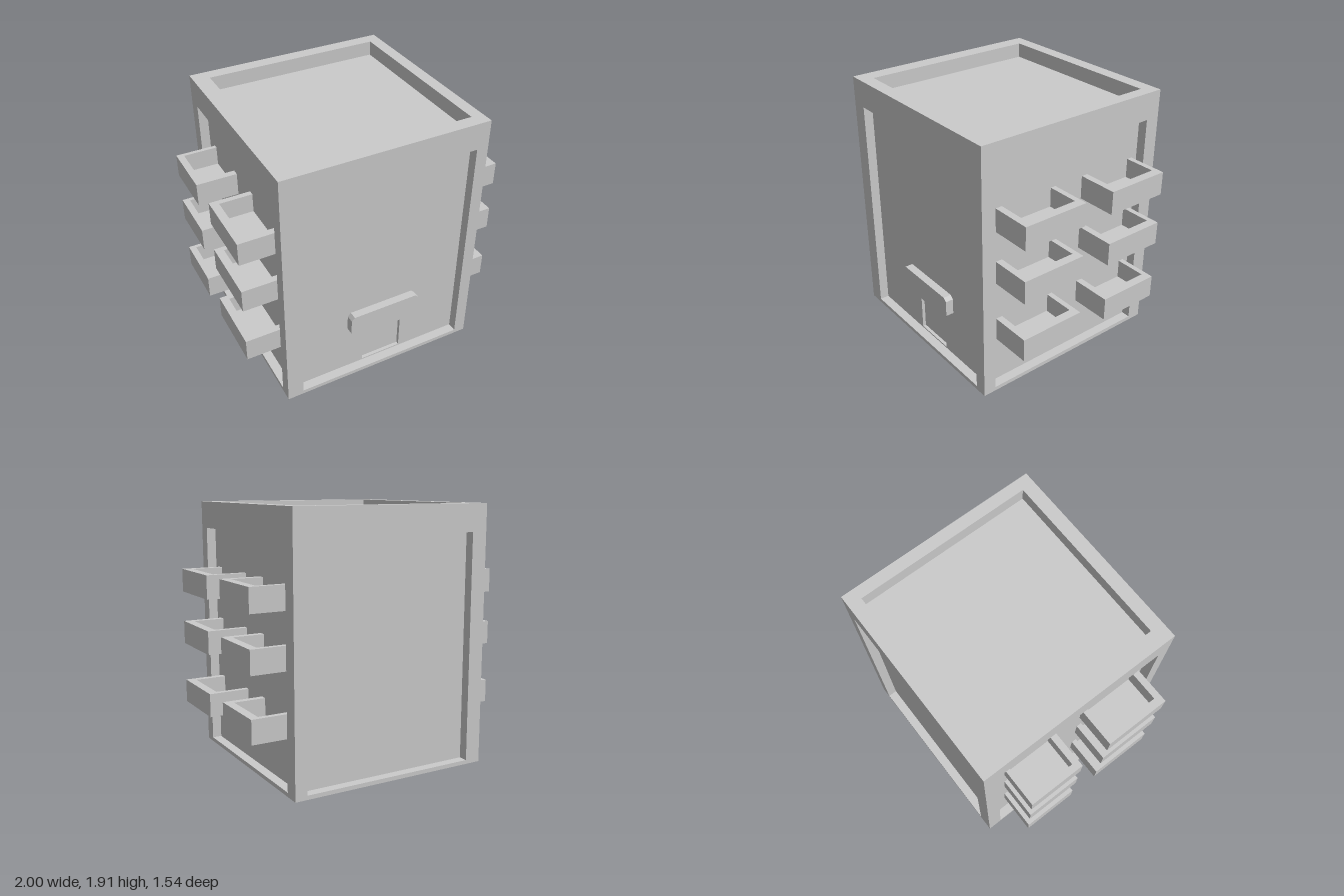
import * as THREE from 'three';
import { mergeGeometries } from 'three/addons/utils/BufferGeometryUtils.js';

const HALF = 0.77, HEIGHT = 1.91, PANEL = 0.07;

const corners = ([x0, y0, x1, y1]) => [[x0, y0], [x1, y0], [x1, y1], [x0, y1]];
const polygon = (pts) => new THREE.Shape(pts.map(([x, y]) => new THREE.Vector2(x, y)));

// A face in the xy plane made of nested rectangles, each sunk to its own depth
function steppedFace(rects, depths) {
  const parts = [];
  rects.forEach((rect, i) => {
    const plate = polygon(corners(rect));
    if (rects[i + 1]) plate.holes.push(polygon(corners(rects[i + 1])));
    const geo = new THREE.ShapeGeometry(plate).toNonIndexed();
    geo.deleteAttribute('uv');
    parts.push(geo.translate(0, 0, -depths[i]));
    if (i === 0) return;
    // reveals joining this plate to the one in front of it
    const c = corners(rect), f = -depths[i - 1], b = -depths[i], pos = [];
    c.forEach((p, k) => {
      const q = c[(k + 1) % 4];
      pos.push(...p, f, ...q, f, ...q, b, ...p, f, ...q, b, ...p, b);
    });
    const reveal = new THREE.BufferGeometry();
    reveal.setAttribute('position', new THREE.Float32BufferAttribute(pos, 3));
    reveal.computeVertexNormals();
    parts.push(reveal);
  });
  return mergeGeometries(parts);
}

export function createModel() {
  const model = new THREE.Group();
  const material = new THREE.MeshStandardMaterial({ color: 0xcccccc });
  const add = (name, geometry, parent = model) => {
    const mesh = new THREE.Mesh(geometry, material);
    mesh.name = name;
    parent.add(mesh);
    return mesh;
  };

  // Outer walls, each with a sunken panel; the front one also has the doorway
  const wall = [-HALF, 0, HALF, HEIGHT];
  const walls = [
    ['frontWall', 0, [[-0.65, 0.03, 0.68, 1.71], [-0.12, 0.04, 0.2, 0.3]]],
    ['rightWall', Math.PI / 2, [[-0.675, 0.03, 0.66, 1.71]]],
    ['backWall', Math.PI, [[-0.68, 0.03, 0.65, 1.71]]],
    ['leftWall', -Math.PI / 2, [[-0.66, 0.03, 0.675, 1.71]]],
  ];
  for (const [name, turn, holes] of walls) {
    const geo = steppedFace([wall, ...holes], [0, PANEL, PANEL + 0.025]);
    add(name, geo.translate(0, 0, HALF).rotateY(turn));
  }

  // Flat roof sunk behind a parapet, and the underside
  const square = [-HALF, -HALF, HALF, HALF];
  add('roof', steppedFace([square, [-0.65, -0.67, 0.68, 0.67]], [0, 0.11])
    .rotateX(-Math.PI / 2).translate(0, HEIGHT, 0));
  add('underside', steppedFace([square], [0]).rotateX(Math.PI / 2));

  // Canopy with clipped corners above the door
  const [x0, y0, x1, y1, c] = [-0.25, 0.39, 0.31, 0.56, 0.025];
  const canopy = polygon([[x0 + c, y0], [x1 - c, y0], [x1, y0 + c], [x1, y1 - c],
    [x1 - c, y1], [x0 + c, y1], [x0, y1 - c], [x0, y0 + c]]);
  add('canopy', new THREE.ExtrudeGeometry(canopy, { depth: 0.06, bevelEnabled: false })
    .translate(0, 0, HALF - PANEL));

  // Balconies: a U-shaped railing on a floor slab, two per storey on each side
  const inner = HALF - PANEL, rise = 0.172, slab = 0.03;
  const plans = [
    { side: 1, z: [0.11, 0.61], hole: [0.15, 0.56], reach: 0.935 },
    { side: 1, z: [-0.61, -0.13], hole: [-0.57, -0.18], reach: 0.935 },
    { side: -1, z: [0.11, 0.61], hole: [0.15, 0.56], reach: 0.94 },
    { side: -1, z: [-0.56, -0.13], hole: [-0.53, -0.18], reach: 0.95 },
  ];
  for (const base of [0.382, 0.842, 1.241]) {
    for (const { side, z, hole, reach } of plans) {
      const balcony = new THREE.Group();
      balcony.name = side > 0 ? 'leftBalcony' : 'rightBalcony';
      balcony.position.y = base;
      model.add(balcony);
      const outline = [[inner, z[0]], [1, z[0]], [1, z[1]], [inner, z[1]],
        [inner, hole[1]], [reach, hole[1]], [reach, hole[0]], [inner, hole[0]]];
      const plan = polygon(outline.map(([x, d]) => [side * x, -d]));
      add('railing', new THREE.ExtrudeGeometry(plan, { depth: rise, bevelEnabled: false })
        .rotateX(-Math.PI / 2), balcony);
      add('balconyFloor', new THREE.BoxGeometry(reach - inner, slab, hole[1] - hole[0]), balcony)
        .position.set(side * (reach + inner) / 2, slab / 2, (hole[0] + hole[1]) / 2);
    }
  }
  return model;
}
